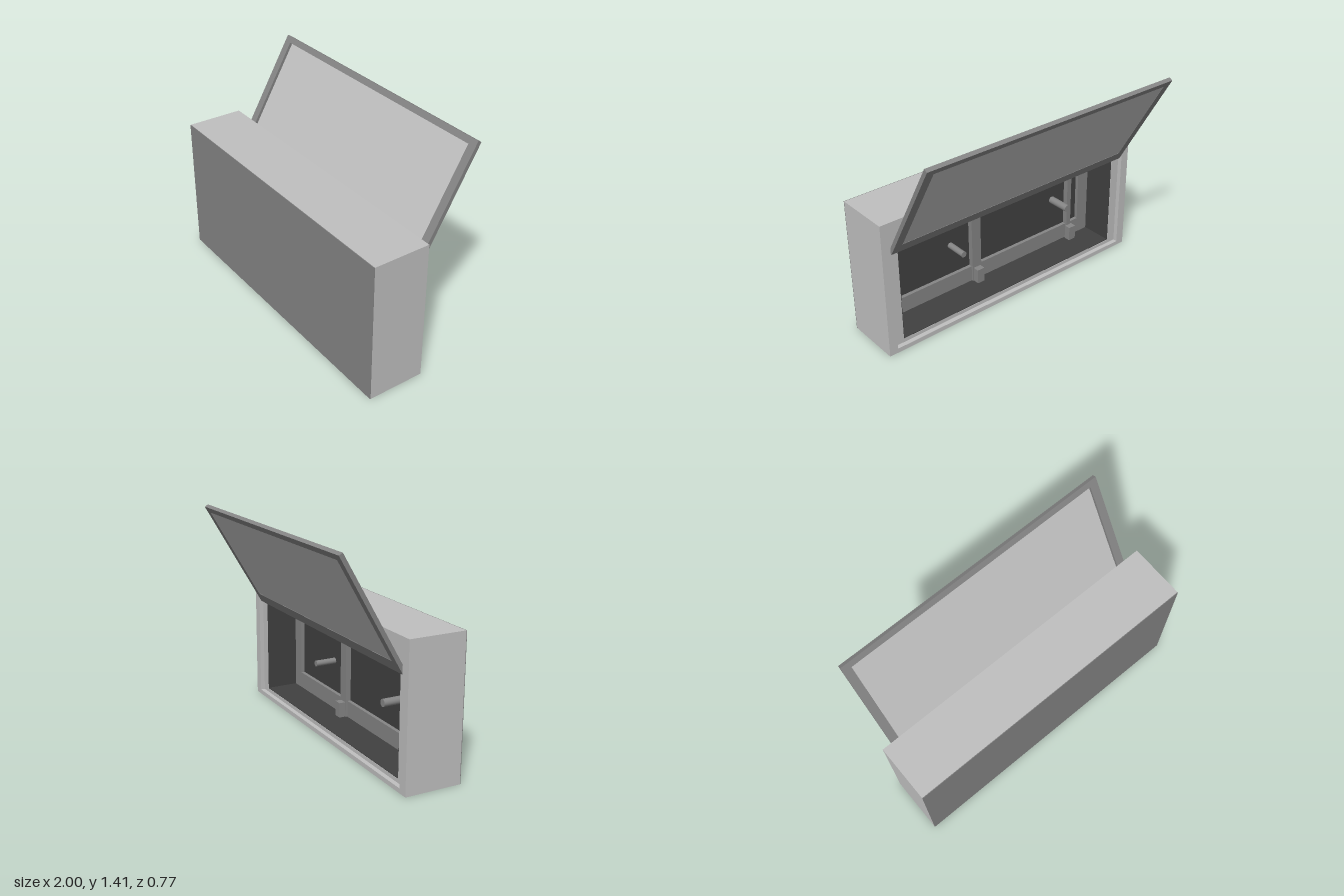
import * as THREE from 'three';

const mat = (name, color) => {
  const m = new THREE.MeshStandardMaterial({ color });
  m.name = name;
  return m;
};

export function createModel() {
  const light = mat('light grey', 0xc0c0c0);
  const mid = mat('mid grey', 0x858585);
  const dark = mat('dark grey', 0x404040);
  const model = new THREE.Group();
  model.name = 'cabinet';

  const add = (parent, name, geometry, material) => {
    const mesh = new THREE.Mesh(geometry, material);
    mesh.name = name;
    parent.add(mesh);
    return mesh;
  };

  // Box given by its lower and upper limits on each axis
  const box = (parent, name, [x0, x1], [y0, y1], [z0, z1], material) =>
    add(parent, name, new THREE.BoxGeometry(x1 - x0, y1 - y0, z1 - z0)
      .translate((x0 + x1) / 2, (y0 + y1) / 2, (z0 + z1) / 2), material);

  // Rectangular frame; rectangles are [half width, bottom, top]
  const trace = (path, [w, b, t]) =>
    path.moveTo(-w, b).lineTo(w, b).lineTo(w, t).lineTo(-w, t).closePath();
  const frame = (parent, name, outer, inner, [z0, z1], material) => {
    const shape = trace(new THREE.Shape(), outer);
    shape.holes.push(trace(new THREE.Path(), inner));
    const geometry = new THREE.ExtrudeGeometry(shape, { depth: z1 - z0, bevelEnabled: false });
    return add(parent, name, geometry.translate(0, 0, z0), material);
  };

  // Case with a stepped rim around the rear opening
  const opening = [0.875, 0.055, 0.745];
  frame(model, 'outerRim', [1, 0, 0.92], [0.94, 0.03, 0.88], [0.01, 0.04], light);
  frame(model, 'caseWalls', [1, 0, 0.92], opening, [0.04, 0.381], light);
  box(model, 'frontPanel', [-1, 1], [0, 0.92], [0.381, 0.385], mid);

  // Dark cavity lining and window pane
  frame(model, 'cavityLining', opening, [0.871, 0.059, 0.741], [0.042, 0.3], dark);
  box(model, 'windowPane', [-0.87, 0.87], [0.06, 0.74], [0.285, 0.375], dark);

  // Inner window frame, upright bars and the blocks at their feet
  frame(model, 'windowFrame', [0.87, 0.059, 0.741], [0.78, 0.17, 0.675], [0.26, 0.285], mid);
  for (const [x, w] of [[0.14, 0.036], [-0.685, 0.018]]) {
    box(model, 'uprightBar', [x - w, x + w], [0.059, 0.741], [0.248, 0.284], mid);
    box(model, 'footBlock', [x - 0.028, x + 0.028], [0.059, 0.16], [0.205, 0.25], mid);
  }

  // Round pegs
  for (const [x, y, r, z0] of [[0.325, 0.385, 0.02, 0.14], [-0.555, 0.395, 0.025, 0.125]]) {
    const peg = add(model, 'peg', new THREE.CylinderGeometry(r, r, 0.287 - z0, 24), mid);
    peg.rotation.x = Math.PI / 2;
    peg.position.set(x, y, (z0 + 0.287) / 2);
  }

  // Raised door, leaning backwards
  const door = new THREE.Group();
  door.name = 'door';
  door.position.set(0, 0.698, 0.02);
  door.rotation.x = -Math.PI / 6;
  frame(door, 'doorFrame', [0.93, 0, 0.806], [0.875, 0.08, 0.766], [0, 0.027], mid);
  box(door, 'doorPanel', [-0.875, 0.875], [0.08, 0.766], [0.002, 0.008], light);
  model.add(door);

  return model;
}
